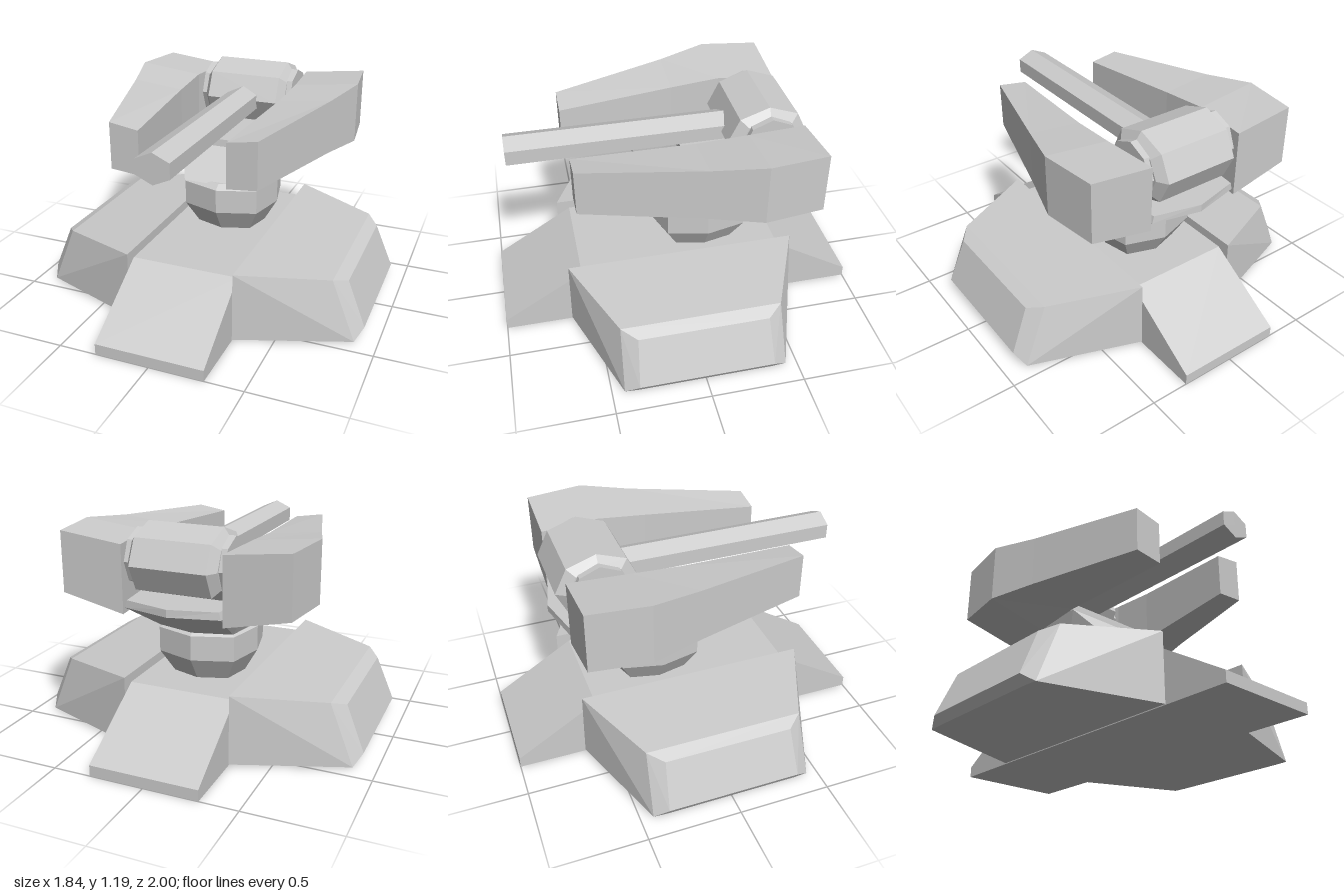
import * as THREE from 'three';
import { ConvexGeometry } from 'three/addons/geometries/ConvexGeometry.js';

const material = new THREE.MeshStandardMaterial({ color: 0xcccccc, flatShading: true });

// Skin a stack of matching rings and close both ends
function loft(rings) {
  const pos = [], n = rings[0].length;
  const tri = (...pts) => pts.forEach((p) => pos.push(...p));
  for (let i = 0; i < rings.length - 1; i++) {
    for (let j = 0; j < n; j++) {
      const k = (j + 1) % n;
      const a = rings[i][j], b = rings[i][k], c = rings[i + 1][k], d = rings[i + 1][j];
      tri(a, b, c);
      tri(a, c, d);
    }
  }
  const first = rings[0], last = rings[rings.length - 1];
  for (let j = 1; j < n - 1; j++) {
    tri(first[0], first[j + 1], first[j]);
    tri(last[0], last[j], last[j + 1]);
  }
  const geo = new THREE.BufferGeometry();
  geo.setAttribute('position', new THREE.Float32BufferAttribute(pos, 3));
  geo.computeVertexNormals();
  return geo;
}

// Level ring at height y from a right-hand [x, z] outline running front to back
function levelRing(y, half) {
  const left = half.filter(([x]) => x > 0).reverse().map(([x, z]) => [-x, z]);
  return [...half, ...left].map(([x, z]) => [x, y, z]);
}

export function createModel() {
  const model = new THREE.Group();
  const add = (name, geo) => {
    const mesh = new THREE.Mesh(geo, material);
    mesh.name = name;
    model.add(mesh);
    return mesh;
  };

  // Central base with a ramp at front and back
  const profile = new THREE.Shape([
    [-1, 0], [1, 0], [1, 0.06], [0.56, 0.33], [-0.56, 0.33], [-1, 0.06],
  ].map(([x, y]) => new THREE.Vector2(x, y)));
  const ramp = new THREE.ExtrudeGeometry(profile, { depth: 0.59, bevelEnabled: false });
  ramp.translate(0, 0, -0.295).rotateY(Math.PI / 2);
  add('baseRamp', ramp);

  // Chamfered blocks on both sides of the base
  const blockCorners = [
    [0.295, 0.005, 0.635], [0.295, 0.38, 0.63],
    [0.755, 0.34, 0.425], [0.82, 0.31, 0.345],
    [0.92, 0.065, 0.36], [0.885, 0.015, 0.435], [0.89, 0.015, 0.36],
  ];
  // Armour wings: z, inner x, outer x, then heights (inner bottom, outer bottom, outer top, inner top)
  const wingStations = [
    [-0.655, 0.27, 0.615, 0.74, 0.815, 1.14, 1.1],
    [-0.34, 0.3, 0.655, 0.74, 0.815, 1.145, 1.105],
    [-0.07, 0.29, 0.575, 0.775, 0.825, 1.115, 1.085],
    [0.565, 0.235, 0.395, 0.81, 0.825, 1.075, 1.05],
  ];
  for (const [side, s] of [['left', 1], ['right', -1]]) {
    const points = blockCorners.flatMap(([x, y, z]) => [
      new THREE.Vector3(s * x, y, z), new THREE.Vector3(s * x, y, -z),
    ]);
    add(side + 'BaseBlock', new ConvexGeometry(points));

    const rings = wingStations.map(([z, xi, xo, ib, ob, ot, it]) => {
      const ring = [[s * xi, ib, z], [s * xo, ob, z], [s * xo, ot, z], [s * xi, it, z]];
      return s > 0 ? ring : ring.reverse();
    });
    add(side + 'Wing', loft(rings));
  }

  // Faceted turning joint
  const jointRing = (y, k) => levelRing(y, [
    [0, 0.2875], [0.215, 0.217], [0.265, 0], [0.215, -0.217], [0, -0.2875],
  ].map(([x, z]) => [x * k, z * k - 0.158]));
  add('turningJoint', loft([
    jointRing(0.31, 0.69), jointRing(0.33, 0.73), jointRing(0.455, 1),
    jointRing(0.59, 1), jointRing(0.615, 0.86),
  ]));

  // Backward-leaning neck that carries the wings
  add('neck', loft([
    levelRing(0.605, [[0.21, 0.08], [0.255, -0.14], [0.21, -0.375], [0, -0.43]]),
    levelRing(0.775, [[0.285, -0.075], [0.3, -0.35], [0.26, -0.65], [0, -0.71]]),
    levelRing(0.815, [[0.25, -0.08], [0.28, -0.35], [0.25, -0.65], [0, -0.71]]),
  ]));

  // Gun drum lying across, with bevelled ends
  const drumRing = (x, k) => Array.from({ length: 8 }, (_, i) => {
    const a = (i * Math.PI) / 4;
    return [x, 1.005 + 0.187 * k * Math.cos(a), -0.48 + 0.22 * k * Math.sin(a)];
  });
  add('gunDrum', loft([
    drumRing(-0.24, 0.74), drumRing(-0.205, 1), drumRing(0.205, 1), drumRing(0.24, 0.74),
  ]));

  // Axle between the wings
  const axle = add('drumAxle', new THREE.CylinderGeometry(0.15, 0.15, 0.54, 8).rotateZ(Math.PI / 2));
  axle.position.set(0, 1.005, -0.48);

  // Six-sided gun barrel
  const barrel = add('gunBarrel', new THREE.CylinderGeometry(0.08, 0.08, 1.28, 6).rotateX(Math.PI / 2));
  barrel.scale.x = 1.28;
  barrel.position.set(0, 0.997, 0.24);

  return model;
}
